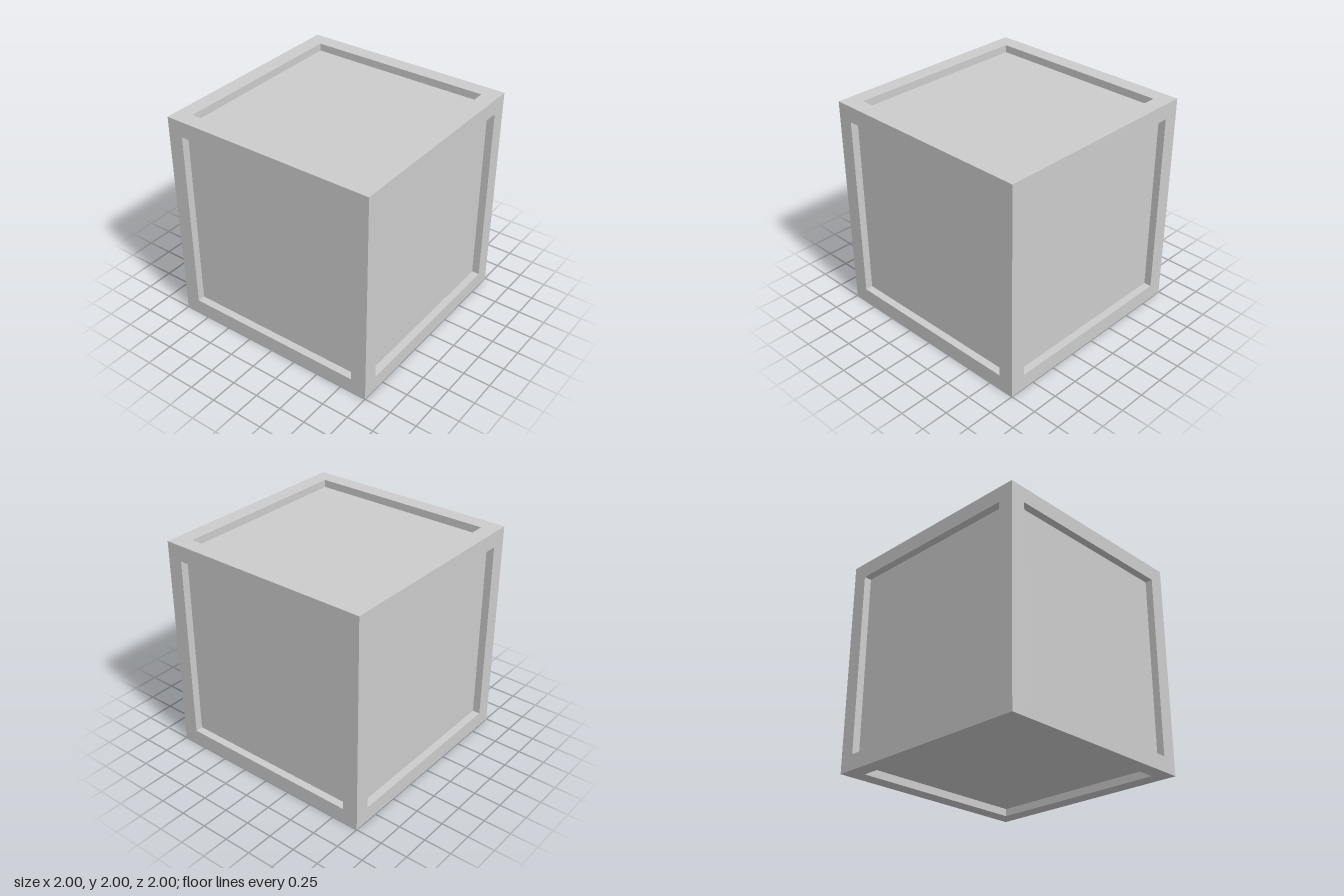
import * as THREE from 'three';
import { mergeGeometries } from 'three/addons/utils/BufferGeometryUtils.js';

const HALF = 1;       // half the cube's side
const INNER = 0.857;  // half the side of each recessed panel
const DEPTH = 0.07;   // how far each panel is set back

const square = (Type, r) => new Type([
  new THREE.Vector2(-r, -r), new THREE.Vector2(r, -r),
  new THREE.Vector2(r, r), new THREE.Vector2(-r, r),
]);

// Flat border with a square opening, plus the four walls of the recess
function frameGeometry() {
  const border = square(THREE.Shape, HALF);
  border.holes.push(square(THREE.Path, INNER));
  const parts = [new THREE.ShapeGeometry(border).translate(0, 0, HALF)];
  for (let i = 0; i < 4; i++) {
    parts.push(new THREE.PlaneGeometry(DEPTH, 2 * INNER)
      .rotateY(-Math.PI / 2)
      .translate(INNER, 0, HALF - DEPTH / 2)
      .rotateZ(i * Math.PI / 2));
  }
  return mergeGeometries(parts);
}

export function createModel() {
  const model = new THREE.Group();
  model.name = 'panelledCube';
  const material = new THREE.MeshStandardMaterial({ color: 0xcccccc });
  const frame = frameGeometry();
  const panel = new THREE.PlaneGeometry(2 * INNER, 2 * INNER).translate(0, 0, HALF - DEPTH);

  // The same framed panel, turned to each of the six sides
  const q = Math.PI / 2;
  const sides = {
    front: [0, 0], left: [0, q], back: [0, 2 * q], right: [0, -q],
    top: [-q, 0], bottom: [q, 0],
  };
  for (const [name, [rx, ry]] of Object.entries(sides)) {
    const side = new THREE.Group();
    side.name = name + 'Side';
    for (const [part, geometry] of [['Frame', frame], ['Panel', panel]]) {
      const mesh = new THREE.Mesh(geometry, material);
      mesh.name = name + part;
      side.add(mesh);
    }
    side.rotation.set(rx, ry, 0);
    side.position.y = HALF;
    model.add(side);
  }
  return model;
}
